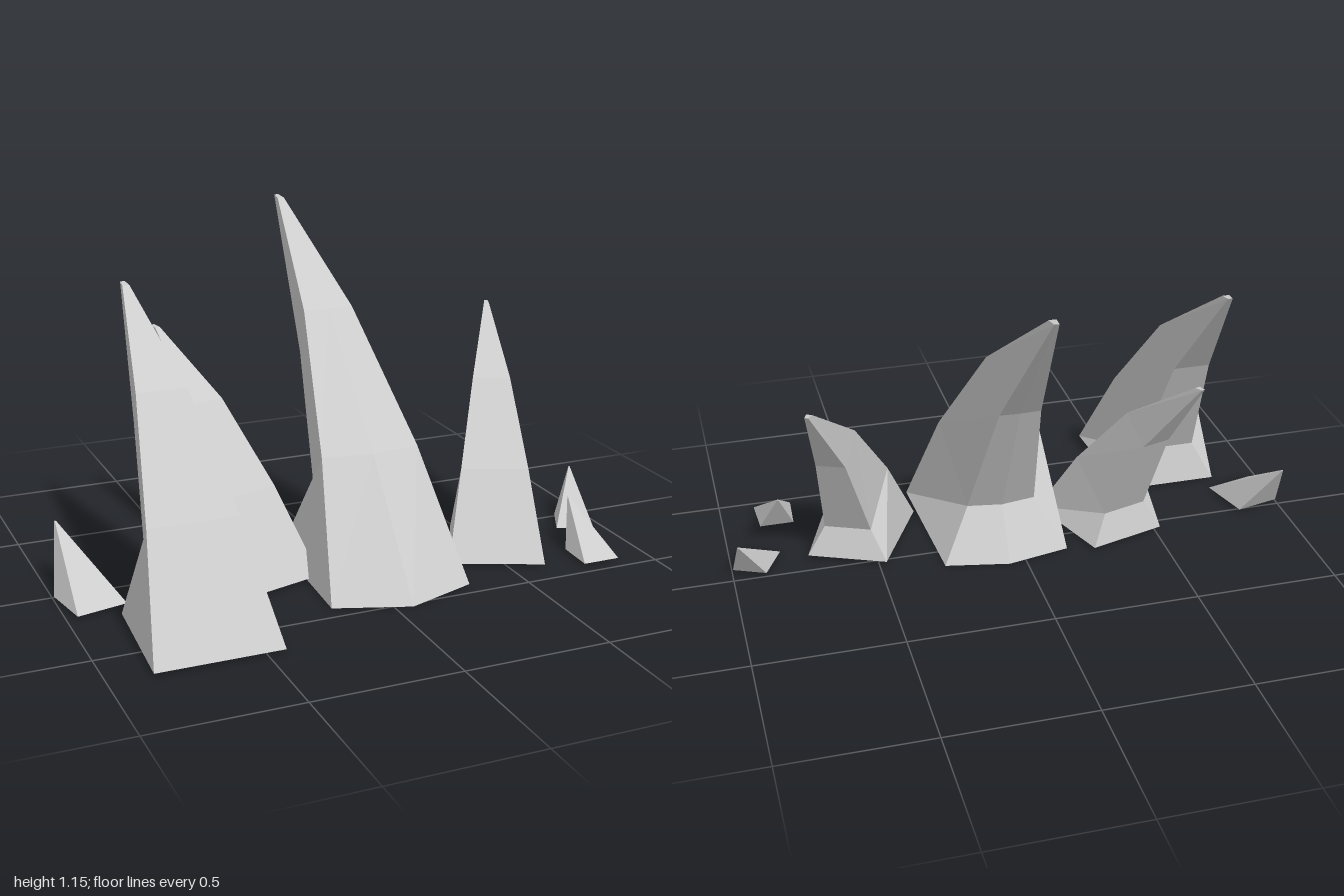
import * as THREE from 'three';

const material = new THREE.MeshStandardMaterial({
  color: 0xcccccc, flatShading: true, side: THREE.DoubleSide,
});

// Rings are corner loops running counter-clockwise seen from above.
function loft(rings) {
  const out = [];
  const tri = (...corners) => corners.forEach((c) => out.push(...c));
  for (let r = 0; r < rings.length - 1; r++) {
    const lo = rings[r], hi = rings[r + 1], n = lo.length;
    for (let i = 0; i < n; i++) {
      const j = (i + 1) % n;
      tri(lo[i], lo[j], hi[j]);
      tri(lo[i], hi[j], hi[i]);
    }
  }
  // Close the tip; the foot stays open.
  const tip = rings[rings.length - 1];
  for (let i = 1; i < tip.length - 1; i++) tri(tip[0], tip[i], tip[i + 1]);
  const geometry = new THREE.BufferGeometry();
  geometry.setAttribute('position', new THREE.Float32BufferAttribute(out, 3));
  geometry.computeVertexNormals();
  return geometry;
}

// Section: front z, y, half width, then back z, y, half width,
// and optional outward offsets of a middle front and back ridge.
function ring([fz, fy, fw, bz, by, bw, ridgeF, ridgeB]) {
  const points = [[fw, fy, fz], [bw, by, bz], [-bw, by, bz], [-fw, fy, fz]];
  if (ridgeF !== undefined) {
    points.splice(2, 0, [0, by, bz - ridgeB]);
    points.push([0, fy, fz + ridgeF]);
  }
  return points;
}

// Great spike with a middle ridge
const greatSpike = loft([
  [0.435, 0, 0.25, -0.095, 0, 0.22, 0.09, 0.045],
  [0.175, 0.42, 0.175, -0.015, 0.18, 0.12, 0.03, 0.02],
  [-0.185, 0.83, 0.09, -0.275, 0.66, 0.07, 0.002, 0.004],
  [-0.63, 1.145, 0.012, -0.675, 1.15, 0.008, 0.001, 0.001],
].map(ring));

// Four-sided spike, front edge of the foot at z = 0
const spike = loft([
  [0, 0, 0.21, -0.445, 0, 0.18],
  [-0.235, 0.36, 0.15, -0.41, 0.14, 0.105],
  [-0.525, 0.7, 0.085, -0.63, 0.575, 0.065],
  [-0.895, 0.96, 0.012, -0.935, 0.965, 0.008],
].map(ring));

// Small leaning shard
const shard = loft([
  [0, 0, 0.067, -0.14, 0, 0.06],
  [-0.232, 0.155, 0.002, -0.237, 0.155, 0.002],
].map(ring));

export function createModel() {
  const model = new THREE.Group();
  const place = (name, geometry, x, y, z, turn = 0, scale = 1) => {
    const mesh = new THREE.Mesh(geometry, material);
    mesh.name = name;
    mesh.position.set(x, y, z);
    mesh.rotation.y = THREE.MathUtils.degToRad(turn);
    mesh.scale.setScalar(scale);
    model.add(mesh);
  };
  place('greatSpike', greatSpike, 0.06, 0, 0);
  place('rightOuterSpike', spike, -0.65, 0.01, 0.675);
  place('rightInnerSpike', spike, -0.29, 0.01, 0.238, 16, 0.78);
  place('leftSpike', spike, 0.465, 0.01, 0.342, -23.5, 0.78);
  place('rightShard', shard, -0.878, 0.01, 0.178, 13, 1.33);
  place('leftFrontShard', shard, 0.81, 0.01, 0.457);
  place('leftOuterShard', shard, 0.885, 0.01, 0.158, -24);
  return model;
}
